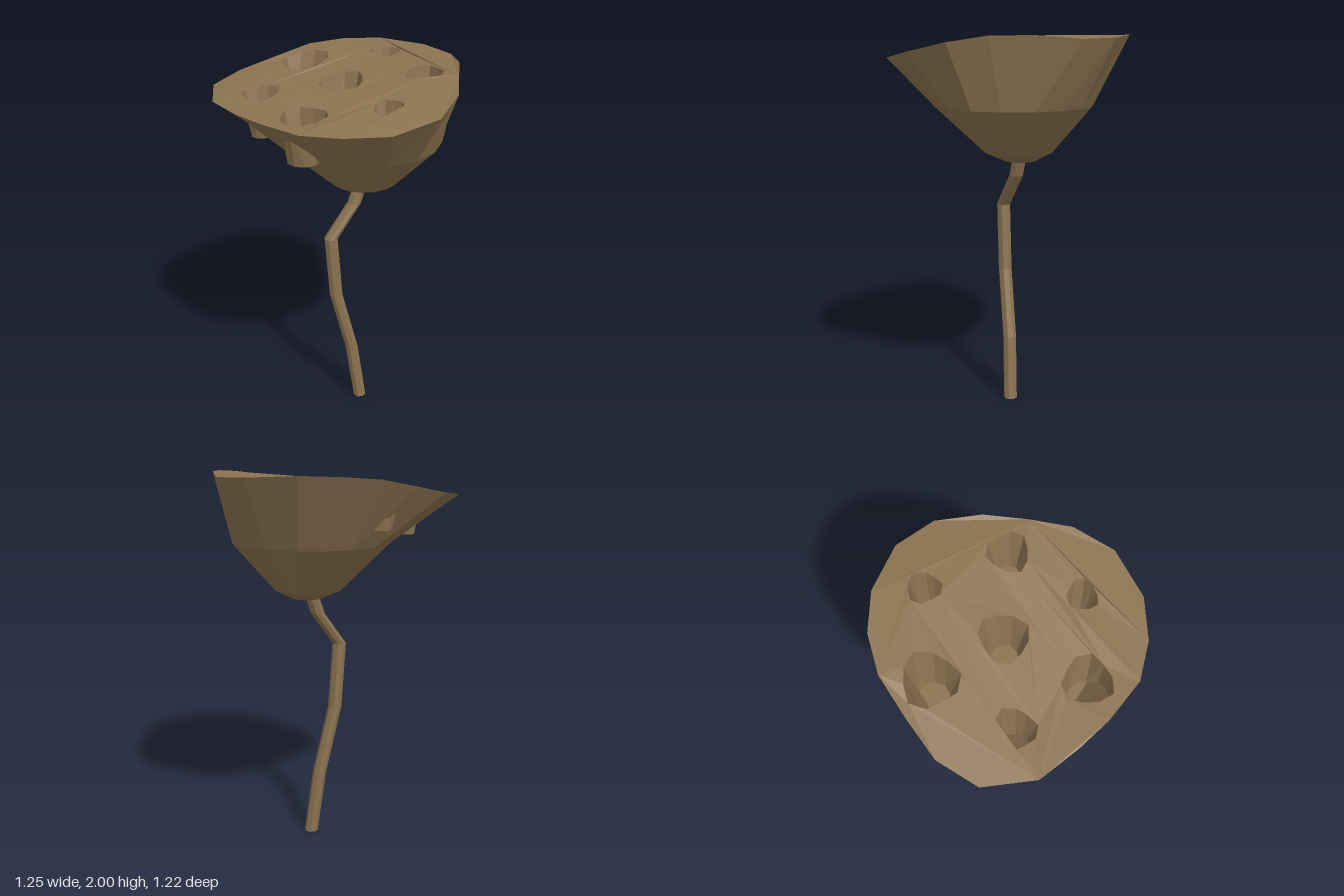
import * as THREE from 'three';

const V = (x, y, z) => new THREE.Vector3(x, y, z);

// Flat-shaded geometry from a list of corner points, three per triangle
function fromCorners(corners) {
  const g = new THREE.BufferGeometry().setFromPoints(corners);
  g.computeVertexNormals();
  return g;
}

// Skin closed loops together; optionally close the first or last loop
function loft(rings, capFirst, capLast) {
  const out = [];
  const n = rings[0].length;
  const middle = (ring) => ring.reduce((s, p) => s.add(p), V(0, 0, 0)).divideScalar(n);
  for (let j = 0; j < n; j++) {
    const k = (j + 1) % n;
    for (let i = 0; i + 1 < rings.length; i++) {
      const a = rings[i], b = rings[i + 1];
      out.push(a[j], b[j], a[k], a[k], b[j], b[k]);
    }
    const last = rings[rings.length - 1];
    if (capFirst) out.push(middle(rings[0]), rings[0][j], rings[0][k]);
    if (capLast) out.push(middle(last), last[k], last[j]);
  }
  return fromCorners(out);
}

// Uneven rim of the pod: x, height, z
const rim = [
  [-0.63, 1.875, -0.25], [-0.53, 1.88, -0.48], [-0.34, 1.9, -0.58],
  [-0.13, 1.935, -0.6], [0.09, 1.975, -0.61], [0.28, 1.99, -0.56],
  [0.45, 1.995, -0.45], [0.6, 1.985, -0.25], [0.625, 1.98, -0.04],
  [0.53, 1.998, 0.16], [0.4, 1.995, 0.33], [0.28, 1.965, 0.49],
  [0.1, 1.92, 0.605], [-0.15, 1.885, 0.6], [-0.34, 1.88, 0.5],
  [-0.48, 1.875, 0.36], [-0.56, 1.875, 0.15], [-0.6, 1.87, -0.03],
].map((p) => V(...p));

// Height of the top face, blended from the rim
function topHeight(x, z) {
  let sum = 0, weight = 0;
  for (const p of rim) {
    const w = 1 / (Math.hypot(p.x - x, p.z - z) ** 3 + 1e-6);
    sum += w * p.y;
    weight += w;
  }
  return sum / weight;
}

// Seed pits: centre x, z, radius, direction of a corner, floor radius
const pits = [
  { x: -0.03, z: -0.43, r: 0.125, turn: 0, floor: 0.075 },
  { x: -0.39, z: -0.225, r: 0.095, turn: 0, floor: 0.055 },
  { x: 0.35, z: -0.245, r: 0.077, turn: 0, floor: 0.043 },
  { x: -0.02, z: -0.055, r: 0.112, turn: Math.PI / 2, floor: 0.065 },
  { x: -0.36, z: 0.165, r: 0.114, turn: 2.6, floor: 0.08 },
  { x: 0.31, z: 0.165, r: 0.097, turn: Math.PI, floor: 0.055 },
  { x: -0.015, z: 0.355, r: 0.072, turn: 2.6, floor: 0.04 },
];
const PIT_SIDES = 10;
const PIT_DEPTH = 0.22;

// Rounded-triangle mouth and round floor of a pit
function pitRings({ x, z, r, turn, floor }) {
  const mouth = [], base = [];
  const floorY = topHeight(x, z) - PIT_DEPTH;
  for (let i = 0; i < PIT_SIDES; i++) {
    const a = turn + (i / PIT_SIDES) * Math.PI * 2;
    const s = r * (1 + 0.12 * Math.cos(3 * (a - turn)));
    const px = x + s * Math.cos(a), pz = z + s * Math.sin(a);
    mouth.push(V(px, topHeight(px, pz), pz));
    base.push(V(x + floor * Math.cos(a), floorY, z + floor * Math.sin(a)));
  }
  return [mouth, base];
}

// Top face with openings for the pits
function topGeometry(mouths) {
  const flat = (ring) => ring.map((p) => new THREE.Vector2(p.x, p.z));
  const points = [rim, ...mouths].flat();
  const corners = [];
  for (const face of THREE.ShapeUtils.triangulateShape(flat(rim), mouths.map(flat))) {
    const [a, b, c] = face.map((i) => points[i]);
    const up = b.clone().sub(a).cross(c.clone().sub(a)).y > 0;
    corners.push(a, up ? b : c, up ? c : b);
  }
  return fromCorners(corners);
}

export function createModel() {
  const model = new THREE.Group();
  model.name = 'driedSeedPod';
  const brown = new THREE.MeshStandardMaterial({
    color: 0x8b7350, flatShading: true, side: THREE.DoubleSide,
  });
  brown.name = 'dry brown';
  const add = (name, geometry, parent = model) => {
    const mesh = new THREE.Mesh(geometry, brown);
    mesh.name = name;
    parent.add(mesh);
  };

  // Cup: circles below the rim, given as centre x, y, z and radius
  const cupRings = [
    [0.1, 1.35, -0.03, 0.08], [0.09, 1.395, -0.025, 0.178], [0.06, 1.64, -0.01, 0.415],
  ].map(([x, y, z, r]) => rim.map((p) => {
    const a = Math.atan2(p.z, p.x);
    return V(x + r * Math.cos(a), y, z + r * Math.sin(a));
  }));
  add('podCup', loft([...cupRings, rim], true, false));

  // Top face and its pits
  const rings = pits.map(pitRings);
  add('podTop', topGeometry(rings.map((r) => r[0])));
  const pitGroup = new THREE.Group();
  pitGroup.name = 'seedPits';
  model.add(pitGroup);
  rings.forEach((r, i) => add(`seedPit${i + 1}`, loft(r, false, true), pitGroup));

  // Crooked stem
  const stem = [
    [0.055, 0, 0], [0.012, 0.35, -0.02], [-0.075, 0.72, -0.043],
    [-0.1, 1.08, -0.048], [0.04, 1.26, -0.042], [0.08, 1.37, -0.04],
  ].map(([x, y, z]) => Array.from({ length: 8 }, (_, i) => {
    const a = (i / 8) * Math.PI * 2;
    return V(x + 0.037 * Math.cos(a), y, z + 0.037 * Math.sin(a));
  }));
  add('stem', loft(stem, true, true));

  return model;
}
